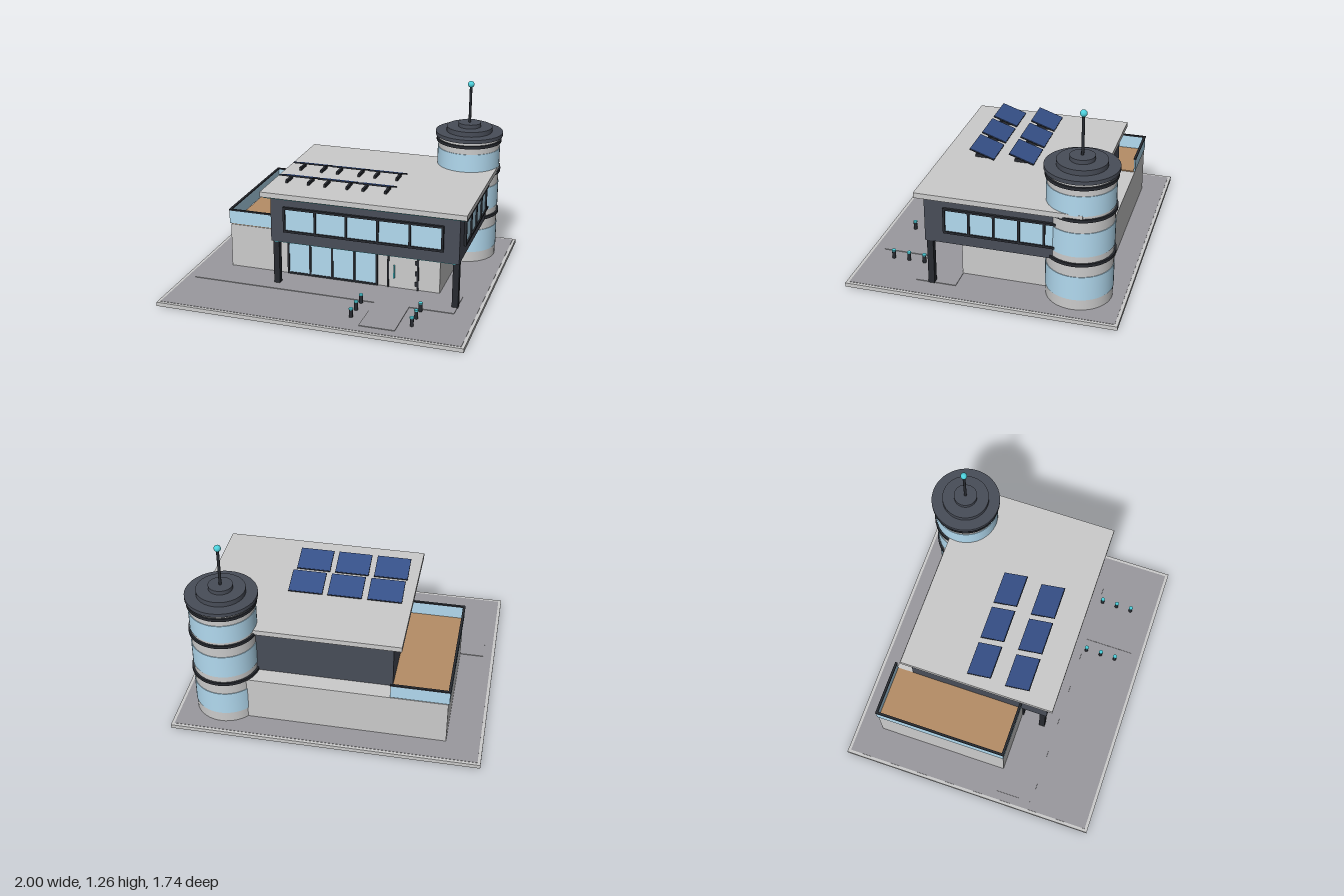
import * as THREE from 'three';

const mat = (color) => new THREE.MeshStandardMaterial({ color });
const M = {
  grey: mat(0xcccccc), paving: mat(0x9a999e), dark: mat(0x484d58), frame: mat(0x272a30),
  glass: mat(0xb2daf0), wood: mat(0xb58d66), solar: mat(0x365088), cyan: mat(0x4dd0dc),
};

// Box given by its minimum and maximum on each axis
function box(parent, name, material, [x0, x1], [y0, y1], [z0, z1]) {
  const mesh = new THREE.Mesh(new THREE.BoxGeometry(x1 - x0, y1 - y0, z1 - z0), material);
  mesh.position.set((x0 + x1) / 2, (y0 + y1) / 2, (z0 + z1) / 2);
  mesh.name = name;
  parent.add(mesh);
  return mesh;
}

// Upright cylinder from y0 to y1
function drum(parent, name, material, x, z, r, y0, y1, sides = 48) {
  const mesh = new THREE.Mesh(new THREE.CylinderGeometry(r, r, y1 - y0, sides), material);
  mesh.position.set(x, (y0 + y1) / 2, z);
  mesh.name = name;
  parent.add(mesh);
  return mesh;
}

function group(parent, name) {
  const g = new THREE.Group();
  g.name = name;
  parent.add(g);
  return g;
}

// Framed window facing +z, centred on its own origin in x, standing on y = 0
function makeWindow(parent, name, width, height, panes, depth) {
  const g = group(parent, name);
  const w = width / 2, t = 0.014;
  box(g, 'glazing', M.glass, [-w + 0.004, w - 0.004], [0.004, height - 0.004], [-0.01, depth * 0.4]);
  box(g, 'sill', M.frame, [-w, w], [0, t], [-0.01, depth]);
  box(g, 'head', M.frame, [-w, w], [height - t, height], [-0.01, depth]);
  for (let i = 0; i <= panes; i++) {
    const x = -w + t / 2 + (i / panes) * (width - t);
    box(g, 'mullion', M.frame, [x - t / 2, x + t / 2], [0, height], [-0.01, depth]);
  }
  return g;
}

export function createModel() {
  const model = new THREE.Group();
  model.name = 'modernBuilding';

  // Ground slab, paving and paths
  const site = group(model, 'site');
  box(site, 'baseSlab', M.grey, [-1, 1], [0, 0.026], [-0.87, 0.87]);
  box(site, 'paving', M.paving, [-0.98, 0.98], [0.02, 0.028], [-0.85, 0.85]);
  box(site, 'frontTerrace', M.paving, [-0.925, 0.845], [0.02, 0.032], [0.19, 0.45]);
  box(site, 'entrancePath', M.paving, [0.325, 0.555], [0.02, 0.032], [0.44, 0.785]);
  for (const x of [0.245, 0.635]) {
    for (const z of [0.475, 0.58, 0.685]) {
      const b = group(site, 'bollard');
      drum(b, 'bollardPost', M.frame, x, z, 0.012, 0.026, 0.08, 16);
      drum(b, 'bollardLamp', M.cyan, x, z, 0.014, 0.08, 0.088, 16);
    }
  }

  // Ground floor with glazed front and door
  const lower = group(model, 'groundFloor');
  box(lower, 'groundFloorWalls', M.grey, [-0.765, 0.69], [0.026, 0.335], [-0.695, 0.195]);
  makeWindow(lower, 'loungeWindow', 0.63, 0.3, 4, 0.01).position.set(-0.042, 0.03, 0.195);
  const door = group(lower, 'entranceDoor');
  box(door, 'doorPanel', M.grey, [0.345, 0.545], [0.03, 0.28], [0.19, 0.198]);
  box(door, 'doorHead', M.frame, [0.338, 0.55], [0.273, 0.285], [0.19, 0.204]);
  for (const x of [0.338, 0.538]) box(door, 'doorJamb', M.frame, [x, x + 0.012], [0.03, 0.285], [0.19, 0.204]);
  box(door, 'doorHandle', M.cyan, [0.381, 0.389], [0.1, 0.19], [0.195, 0.208]);
  for (const y of [0.075, 0.15, 0.225]) box(door, 'doorHinge', M.frame, [0.525, 0.545], [y - 0.016, y + 0.016], [0.19, 0.204]);
  for (const x of [-0.37, 0.83]) box(lower, 'frontColumn', M.frame, [x - 0.02, x + 0.02], [0.026, 0.336], [0.327, 0.367]);

  // Upper floor overhanging the front
  const upper = group(model, 'upperFloor');
  box(upper, 'upperFloorWalls', M.dark, [-0.4, 0.85], [0.335, 0.648], [-0.58, 0.378]);
  makeWindow(upper, 'frontWindow', 1.06, 0.172, 5, 0.018).position.set(0.22, 0.41, 0.378);
  const side = makeWindow(upper, 'sideWindow', 0.8, 0.172, 5, 0.016);
  side.rotation.y = Math.PI / 2;
  side.position.set(0.85, 0.41, -0.145);
  box(upper, 'soffitLight', M.cyan, [-0.38, 0.83], [0.33, 0.336], [0.368, 0.374]);
  for (let i = 0; i < 4; i++) drum(upper, 'downlight', M.cyan, -0.2 + i * 0.28, 0.28, 0.015, 0.329, 0.336, 16);

  // Flat roof with light strips under the eaves
  const roof = group(model, 'roof');
  box(roof, 'roofSlab', M.grey, [-0.455, 0.9], [0.648, 0.682], [-0.62, 0.425]);
  box(roof, 'frontEaveLight', M.cyan, [-0.43, 0.88], [0.641, 0.649], [0.405, 0.415]);
  box(roof, 'sideEaveLight', M.cyan, [0.875, 0.885], [0.641, 0.649], [-0.5, 0.415]);

  // Tilted solar panels, high edge to the front
  for (const z of [-0.098, 0.163]) {
    for (const x of [-0.275, -0.012, 0.248]) {
      const p = group(model, 'solarPanel');
      p.position.set(x, 0, z);
      for (const s of [-0.075, 0.075]) box(p, 'panelFoot', M.frame, [s - 0.008, s + 0.008], [0.68, 0.702], [-0.048, 0.052]);
      const tilt = group(p, 'panelTray');
      tilt.position.y = 0.718;
      tilt.rotation.x = -0.33;
      box(tilt, 'panelCells', M.solar, [-0.111, 0.111], [0, 0.005], [-0.084, 0.084]);
      box(tilt, 'panelBacking', M.frame, [-0.113, 0.113], [-0.005, 0.002], [-0.086, 0.086]);
    }
  }

  // Wooden roof deck with glass balustrade
  const deck = group(model, 'roofDeck');
  box(deck, 'deckBoards', M.wood, [-0.76, -0.4], [0.33, 0.343], [-0.688, 0.19]);
  const rails = [
    [[-0.773, -0.763], [-0.698, 0.198]],
    [[-0.773, -0.4], [0.188, 0.198]],
    [[-0.773, -0.4], [-0.698, -0.688]],
  ];
  for (const [x, z] of rails) {
    box(deck, 'balustradeGlass', M.glass, x, [0.342, 0.434], z);
    box(deck, 'handrail', M.frame, [x[0] - 0.003, x[1] + 0.003], [0.433, 0.442], [z[0] - 0.003, z[1] + 0.003]);
  }

  // Round tower with glazed bands, rings, stepped cap and mast
  const tower = group(model, 'tower');
  const tx = 0.69, tz = -0.565;
  drum(tower, 'towerShaft', M.grey, tx, tz, 0.208, 0.026, 0.89);
  for (const [a, b] of [[0.1, 0.26], [0.4, 0.56], [0.675, 0.805]]) drum(tower, 'towerGlazing', M.glass, tx, tz, 0.212, a, b);
  for (const y of [0.347, 0.647, 0.857]) {
    drum(tower, 'towerRing', M.frame, tx, tz, 0.221, y - 0.01, y + 0.01);
  }
  for (const [r, a, b] of [[0.228, 0.887, 0.912], [0.155, 0.912, 0.945], [0.077, 0.945, 0.972]]) {
    drum(tower, 'towerCap', M.dark, tx, tz, r, a, b);
  }
  drum(tower, 'mast', M.frame, tx, tz, 0.009, 0.97, 1.225, 16);
  const beacon = new THREE.Mesh(new THREE.SphereGeometry(0.022, 24, 16), M.cyan);
  beacon.position.set(tx, 1.236, tz);
  beacon.name = 'beacon';
  tower.add(beacon);

  return model;
}
